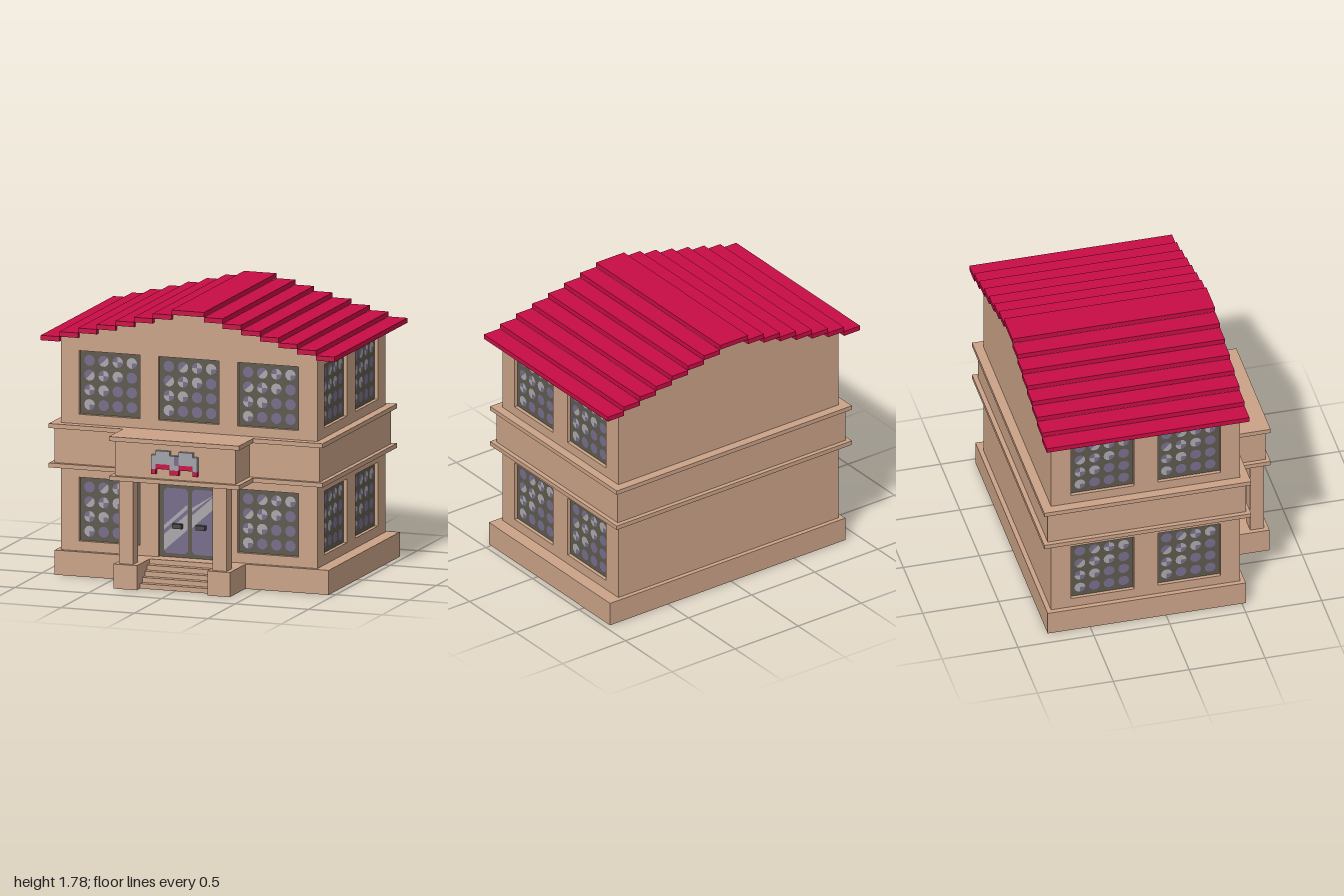
import * as THREE from 'three';

const mat = (name, color, side = THREE.FrontSide) => {
  const m = new THREE.MeshStandardMaterial({ color, side });
  m.name = name;
  return m;
};

export function createModel() {
  const tan = mat('tan plaster', 0xcaa287);
  const red = mat('red tile', 0xc80d45);
  const dark = mat('dark frame', 0x5d594f);
  const glass = mat('violet glass', 0x776d8b);
  const glare = mat('pale glare', 0xa9a7aa);
  const signGrey = mat('sign grey', 0xa1a3a9);
  const handleGrey = mat('handle grey', 0x4b4a48);

  const model = new THREE.Group();
  model.name = 'townHouse';

  const add = (name, geo, material, parent = model) => {
    const mesh = new THREE.Mesh(geo, material);
    mesh.name = name;
    parent.add(mesh);
    return mesh;
  };
  // box given by its minimum and maximum on each axis
  const box = (name, x0, x1, y0, y1, z0, z1, material = tan, parent = model) => {
    const mesh = add(name, new THREE.BoxGeometry(x1 - x0, y1 - y0, z1 - z0), material, parent);
    mesh.position.set((x0 + x1) / 2, (y0 + y1) / 2, (z0 + z1) / 2);
    return mesh;
  };
  const polygon = pts => new THREE.Shape(pts.map(p => new THREE.Vector2(...p)));
  const rectHole = (x0, x1, y0, y1) =>
    new THREE.Path([[x0, y0], [x0, y1], [x1, y1], [x1, y0]].map(p => new THREE.Vector2(...p)));
  const extrude = (shape, depth) => new THREE.ExtrudeGeometry(shape, { depth, bevelEnabled: false });

  // Stepped roof slabs
  const RISE = 0.0325, TOP = 1.78, THICK = 0.031, HALF = 0.111, RUN = 0.127;
  const roof = new THREE.Group();
  roof.name = 'roof';
  model.add(roof);
  for (let k = 0; k < 8; k++) {
    const top = TOP - k * RISE;
    if (k === 0) {
      box('ridgeSlab', -HALF, HALF, top - THICK, top, -0.81, 0.525, red, roof);
      continue;
    }
    const inner = HALF + (k - 1) * RUN, outer = HALF + k * RUN;
    box('roofSlabLeft', inner, outer, top - THICK - 0.001, top, -0.81, 0.525, red, roof);
    box('roofSlabRight', -outer, -inner, top - THICK - 0.001, top, -0.81, 0.525, red, roof);
  }

  // Wall outline that follows the underside of the slabs
  const wallOutline = half => {
    const right = [];
    for (let k = 0; k < 7; k++) {
      const y = TOP - THICK - k * RISE;
      right.push([k ? HALF + (k - 1) * RUN : 0, y], [Math.min(HALF + k * RUN, half), y]);
    }
    right.shift();
    right.push([half, 0.1]);
    const left = right.map(([x, y]) => [-x, y]).reverse();
    return polygon([...left, ...right].reverse());
  };

  // Walls: solid core with outer skins holding the window openings
  const W = 0.873, FRONT = 0.495, BACK = -0.75, SKIN = 0.03;
  const floors = [[0.225, 0.64], [1.05, 1.465]];
  const frontX = [-0.543, -0.003, 0.537], sideZ = [0.16, -0.41], HW = 0.207;

  add('wallCore', extrude(wallOutline(W - SKIN), FRONT - SKIN - BACK), tan).position.z = BACK;

  const frontShape = wallOutline(W);
  const sideShape = polygon([[BACK, 0.1], [FRONT - SKIN, 0.1], [FRONT - SKIN, 1.554], [BACK, 1.554]]);
  floors.forEach(([y0, y1], f) => {
    frontX.forEach((x, i) => frontShape.holes.push(
      rectHole(x - HW, x + HW, f === 0 && i === 1 ? 0.155 : y0, y1)));
    sideZ.forEach(z => sideShape.holes.push(rectHole(z - HW, z + HW, y0, y1)));
  });
  add('frontWall', extrude(frontShape, SKIN), tan).position.z = FRONT - SKIN;
  for (const side of [1, -1]) {
    const wall = add(side > 0 ? 'leftWall' : 'rightWall', extrude(sideShape, SKIN), tan);
    wall.rotation.y = -Math.PI / 2;
    wall.position.x = side > 0 ? W : -W + SKIN;
  }

  // Window: dark frame with a 4 x 4 grid of round panes crossed by a diagonal glare
  const PI = Math.PI;
  const arcs = [null, [-0.75 * PI, PI], null, [0, 1.5 * PI]];
  const makeWindow = () => {
    const g = new THREE.Group();
    g.name = 'window';
    box('windowFrame', -HW, HW, -HW, HW, 0, 0.006, dark, g);
    const pane = (x, y, start, length, material) => add('pane',
      new THREE.CircleGeometry(0.036, Math.round(length / PI * 6), start, length), material, g)
      .position.set(x, y, 0.008);
    for (let r = 0; r < 4; r++) for (let c = 0; c < 4; c++) {
      const x = (c - 1.5) * 0.096, y = (1.5 - r) * 0.096, s = r + c;
      if (s === 2) {
        for (let q = 0; q < 4; q++) pane(x, y, q * PI / 2, PI / 2, q % 2 ? glass : glare);
      } else if (arcs[s]) {
        const [start, length] = arcs[s];
        pane(x, y, start, length, glare);
        pane(x, y, start + length, 2 * PI - length, glass);
      } else pane(x, y, 0, 2 * PI, glass);
    }
    model.add(g);
    return g;
  };
  floors.forEach(([y0, y1], f) => {
    const y = (y0 + y1) / 2;
    frontX.forEach((x, i) => {
      if (f || i !== 1) makeWindow().position.set(x, y, FRONT - SKIN);
    });
    for (const side of [1, -1]) for (const z of sideZ) {
      const w = makeWindow();
      w.position.set(side * (W - SKIN), y, z);
      w.rotation.y = side * PI / 2;
    }
  });

  // Double door with glare streaks and handles
  const door = new THREE.Group();
  door.name = 'door';
  door.position.set(-0.003, 0, FRONT - SKIN);
  model.add(door);
  box('doorFrame', -HW, HW, 0.155, 0.64, 0, 0.006, dark, door);
  for (const s of [-1, 1]) {
    const x0 = s < 0 ? -0.177 : 0.015, x1 = x0 + 0.162, y0 = 0.185, y1 = 0.61, c = 0.018;
    const paneShape = polygon([[x0 + c, y0], [x1 - c, y0], [x1, y0 + c], [x1, y1 - c],
      [x1 - c, y1], [x0 + c, y1], [x0, y1 - c], [x0, y0 + c]]);
    add('doorPane', new THREE.ShapeGeometry(paneShape), glass, door).position.z = 0.008;
    // streaks rise at 45 degrees from the lower edge of each leaf
    const streaks = s < 0 ? [[0.2, 0.305], [0.335, 0.365]] : [[0.36, 0.44], [0.465, 0.49]];
    for (const [a, b] of streaks) {
      const streak = polygon([[x0, a], [x1, a + 0.145], [x1, b + 0.145], [x0, b]].map(
        ([x, y]) => [x, Math.min(y, y1 - c)]));
      add('doorGlare', new THREE.ShapeGeometry(streak), glare, door).position.z = 0.01;
    }
    const hx = s < 0 ? -0.08 : 0.08;
    box('doorHandle', hx - 0.032, hx + 0.032, 0.352, 0.382, 0.006, 0.04, handleGrey, door);
  }

  // Plinth, porch blocks and steps
  box('plinth', -0.905, 0.96, 0, 0.16, -0.78, 0.525);
  box('porchBlockRight', -0.4, -0.24, 0, 0.16, 0.525, 0.81);
  box('porchBlockLeft', 0.24, 0.393, 0, 0.16, 0.525, 0.81);
  for (let i = 0; i < 5; i++)
    box('step', -0.24, 0.24, i * 0.032, (i + 1) * 0.032, 0.525, 0.75 - i * 0.043);

  // Columns
  box('columnRight', -0.37, -0.275, 0.16, 0.705, 0.69, 0.783);
  box('columnLeft', 0.265, 0.362, 0.16, 0.705, 0.69, 0.783);

  // Middle band with ledges, carried forward over the porch
  box('band', -0.905, 0.9, 0.731, 0.959, -0.78, 0.527);
  box('porchBand', -0.4, 0.422, 0.731, 0.959, 0.527, 0.783);
  for (const y of [0.702, 0.959]) {
    box('ledge', -0.935, 0.93, y, y + 0.029, -0.81, 0.553);
    box('porchLedge', -0.43, 0.455, y, y + 0.029, 0.553, 0.81);
  }

  // Plain stepped plaque with a red lower trim
  const sign = new THREE.Group();
  sign.name = 'plaque';
  model.add(sign);
  [[-0.143, -0.113, 0], [-0.113, -0.018, 1], [-0.018, 0.044, 0], [0.044, 0.14, 1], [0.14, 0.17, 0]]
    .forEach(([x0, x1, up]) => {
      const y = up ? 0.8 : 0.765;
      box('plaqueTrim', x0, x1, y, y + 0.032, 0.783, 0.81, red, sign);
      box('plaquePanel', x0, x1, y + 0.032, up ? 0.918 : 0.89, 0.783, 0.81, signGrey, sign);
    });
  box('plaqueInset', 0.014, 0.044, 0.83, 0.89, 0.809, 0.812, glass, sign);

  return model;
}
